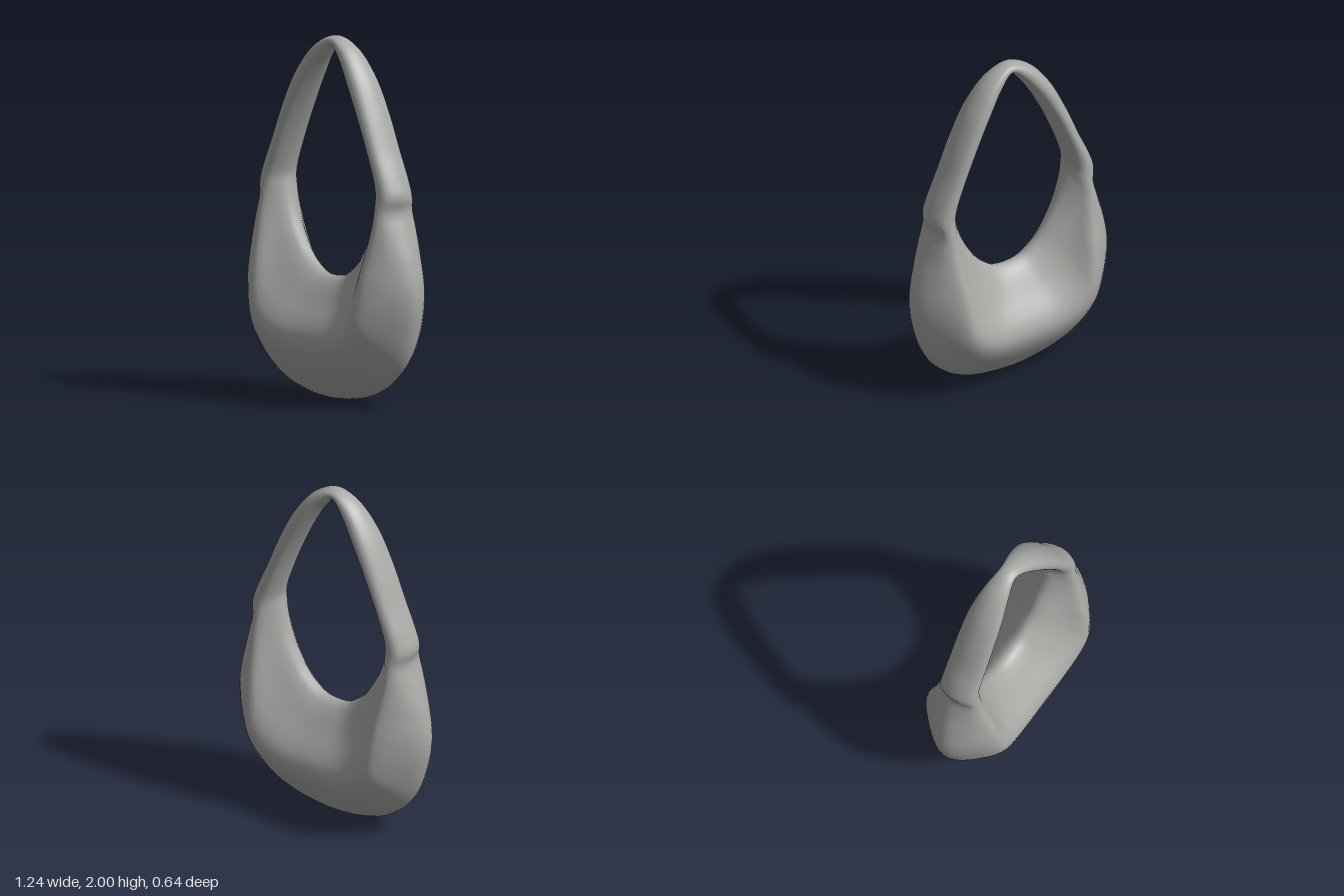
import * as THREE from 'three';

// Half of the bag from bottom centre up to the strap crest. Each station:
// outer x, y | widest ridge x, y | inner rim x, y | half width | fullness outside, inside
const STATIONS = [
  [0, 0, 0, 0.34, 0, 0.68, 0.248, 0.61, 0.57],
  [0.25, 0.035, 0.2, 0.35, 0.085, 0.693, 0.251, 0.61, 0.57],
  [0.4, 0.105, 0.32, 0.4, 0.155, 0.738, 0.256, 0.61, 0.57],
  [0.53, 0.24, 0.385, 0.47, 0.208, 0.79, 0.256, 0.61, 0.57],
  [0.61, 0.45, 0.412, 0.56, 0.255, 0.86, 0.247, 0.6, 0.57],
  [0.632, 0.62, 0.43, 0.7, 0.305, 0.95, 0.222, 0.62, 0.58],
  [0.603, 0.8, 0.447, 0.83, 0.34, 1.04, 0.187, 0.65, 0.62],
  [0.548, 0.97, 0.458, 0.97, 0.362, 1.12, 0.152, 0.74, 0.68],
  [0.515, 1.08, 0.455, 1.08, 0.372, 1.16, 0.13, 0.8, 0.75],
  [0.528, 1.16, 0.452, 1.16, 0.375, 1.195, 0.117, 0.83, 0.8],
  [0.5, 1.25, 0.435, 1.24, 0.368, 1.235, 0.112, 0.83, 0.82],
  [0.433, 1.4, 0.375, 1.39, 0.322, 1.38, 0.11, 0.83, 0.83],
  [0.352, 1.6, 0.295, 1.58, 0.24, 1.57, 0.108, 0.83, 0.83],
  [0.252, 1.8, 0.2, 1.77, 0.143, 1.755, 0.098, 0.83, 0.83],
  [0.13, 1.945, 0.1, 1.91, 0.06, 1.88, 0.073, 0.83, 0.83],
  [0, 2, 0, 1.97, 0, 1.94, 0.052, 0.83, 0.83],
];

// Eight points around one station: outer edge, front side, inner rim, back side
function section([ox, oy, rx, ry, ix, iy, w, a, b], side) {
  const outer = new THREE.Vector3(ox * side, oy, 0);
  const ridge = new THREE.Vector3(rx * side, ry, w);
  const inner = new THREE.Vector3(ix * side, iy, 0);
  const outerMid = outer.clone().lerp(ridge, 0.4).setZ(w * a);
  const innerMid = ridge.clone().lerp(inner, 0.56).setZ(w * b);
  const back = (p) => new THREE.Vector3(p.x, p.y, -p.z);
  return [outer, outerMid, ridge, innerMid, inner, back(innerMid), back(ridge), back(outerMid)];
}

// Smooth closed skin through the ring of sections
function ringSkin(sections, around, across) {
  const rails = sections[0].map((_, j) =>
    new THREE.CatmullRomCurve3(sections.map((s) => s[j]), true, 'centripetal'));
  const positions = [], indices = [];
  for (let i = 0; i < around; i++) {
    const loop = new THREE.CatmullRomCurve3(
      rails.map((r) => r.getPoint(i / around)), true, 'centripetal');
    for (let j = 0; j < across; j++) {
      const p = loop.getPoint(j / across);
      positions.push(p.x, p.y, p.z);
      const i2 = (i + 1) % around, j2 = (j + 1) % across;
      const a = i * across + j, b = i2 * across + j;
      const c = i2 * across + j2, d = i * across + j2;
      indices.push(a, b, c, a, c, d);
    }
  }
  const g = new THREE.BufferGeometry();
  g.setAttribute('position', new THREE.Float32BufferAttribute(positions, 3));
  g.setIndex(indices);
  g.computeVertexNormals();
  return g;
}

export function createModel() {
  const group = new THREE.Group();
  group.name = 'shoulderBag';
  const grey = new THREE.MeshStandardMaterial({ color: 0xa8a8a5 });
  grey.name = 'grey';

  // Right round the ring: up the left side, over the crest, down the right side
  const sections = [
    ...STATIONS.map((s) => section(s, 1)),
    ...STATIONS.slice(1, -1).reverse().map((s) => section(s, -1)),
  ];
  const bag = new THREE.Mesh(ringSkin(sections, 240, 48), grey);
  bag.name = 'bagBodyAndStrap';
  bag.rotation.y = -0.18; // the bag stands slightly turned
  group.add(bag);
  return group;
}
